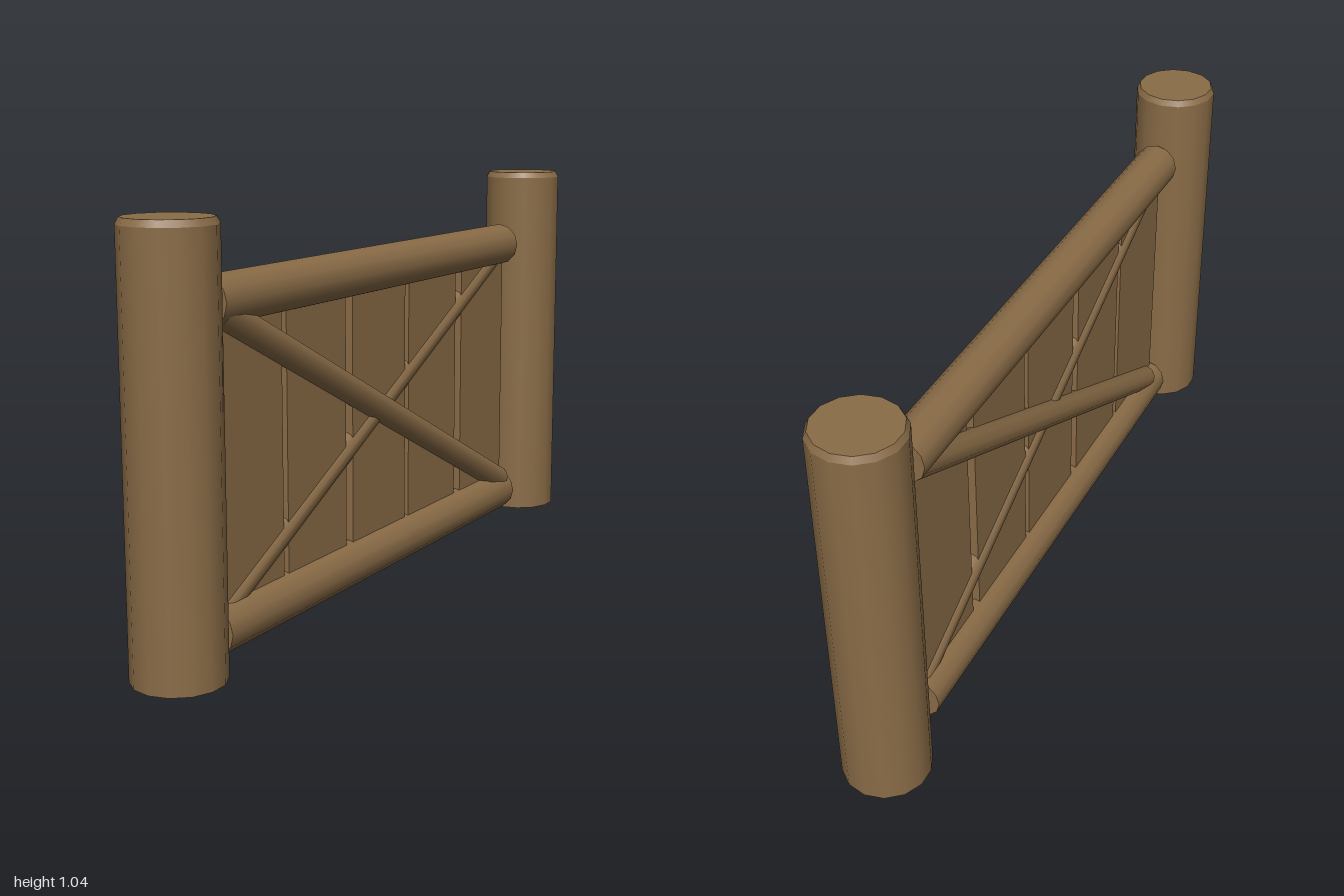
import * as THREE from 'three';

const wood = new THREE.MeshStandardMaterial({ color: 0x8a6c47, side: THREE.DoubleSide });
wood.name = 'brown wood';

function add(parent, name, geometry, x = 0, y = 0, z = 0) {
  const mesh = new THREE.Mesh(geometry, wood);
  mesh.name = name;
  mesh.position.set(x, y, z);
  parent.add(mesh);
  return mesh;
}

// Round log between two points, with flat sawn ends
function log(parent, name, from, to, radius, sides) {
  const a = new THREE.Vector3(...from), b = new THREE.Vector3(...to);
  const dir = b.clone().sub(a);
  const mesh = add(parent, name, new THREE.CylinderGeometry(radius, radius, dir.length(), sides));
  mesh.position.copy(a).add(b).multiplyScalar(0.5);
  mesh.quaternion.setFromUnitVectors(new THREE.Vector3(0, 1, 0), dir.normalize());
}

// Upright post, open underneath, with a narrow bevel below its flat top
function post(parent, name, z, height) {
  const group = new THREE.Group();
  group.name = name;
  group.position.z = z;
  parent.add(group);
  const r = 0.1115, rTop = 0.103, bevel = 0.016, sides = 14;
  const body = height - bevel;
  add(group, 'postBody', new THREE.CylinderGeometry(r, r, body, sides, 1, true), 0, body / 2);
  add(group, 'postBevel', new THREE.CylinderGeometry(rTop, r, bevel, sides, 1, true), 0, height - bevel / 2);
  const cap = new THREE.CircleGeometry(rTop, sides);
  cap.rotateX(-Math.PI / 2);
  cap.rotateY(Math.PI / 2);
  add(group, 'postTop', cap, 0, height);
}

export function createModel() {
  const model = new THREE.Group();
  model.name = 'woodenGate';

  post(model, 'latchPost', 0.8885, 1.03);
  post(model, 'hingePost', -0.8885, 1.045);

  const gate = new THREE.Group();
  gate.name = 'gateLeaf';
  model.add(gate);

  // Rails with a hinge pin and eye on each
  for (const [name, y] of [['topRail', 0.833], ['bottomRail', 0.073]]) {
    log(gate, name, [0, y, 0.765], [0, y, -0.73], 0.06, 12);
    log(gate, 'hingePin', [0, y, -0.72], [0, y, -0.79], 0.013, 8);
    add(gate, 'hingeEye', new THREE.BoxGeometry(0.026, 0.06, 0.024), 0, y, -0.774);
  }

  // Upright planks, given as front and back edges
  const planks = [[0.755, 0.482], [0.462, 0.19], [0.157, -0.12], [-0.14, -0.417], [-0.453, -0.725]];
  for (const [z0, z1] of planks) {
    add(gate, 'plank', new THREE.BoxGeometry(0.027, 0.76, z0 - z1), 0, 0.453, (z0 + z1) / 2);
  }

  // Crossed braces, each set to one side and showing through the planks
  log(gate, 'rightBrace', [0.013, 0.81, 0.73], [0.013, 0.11, -0.71], 0.037, 10);
  log(gate, 'leftBrace', [-0.013, 0.11, 0.71], [-0.013, 0.81, -0.71], 0.037, 10);

  return model;
}
